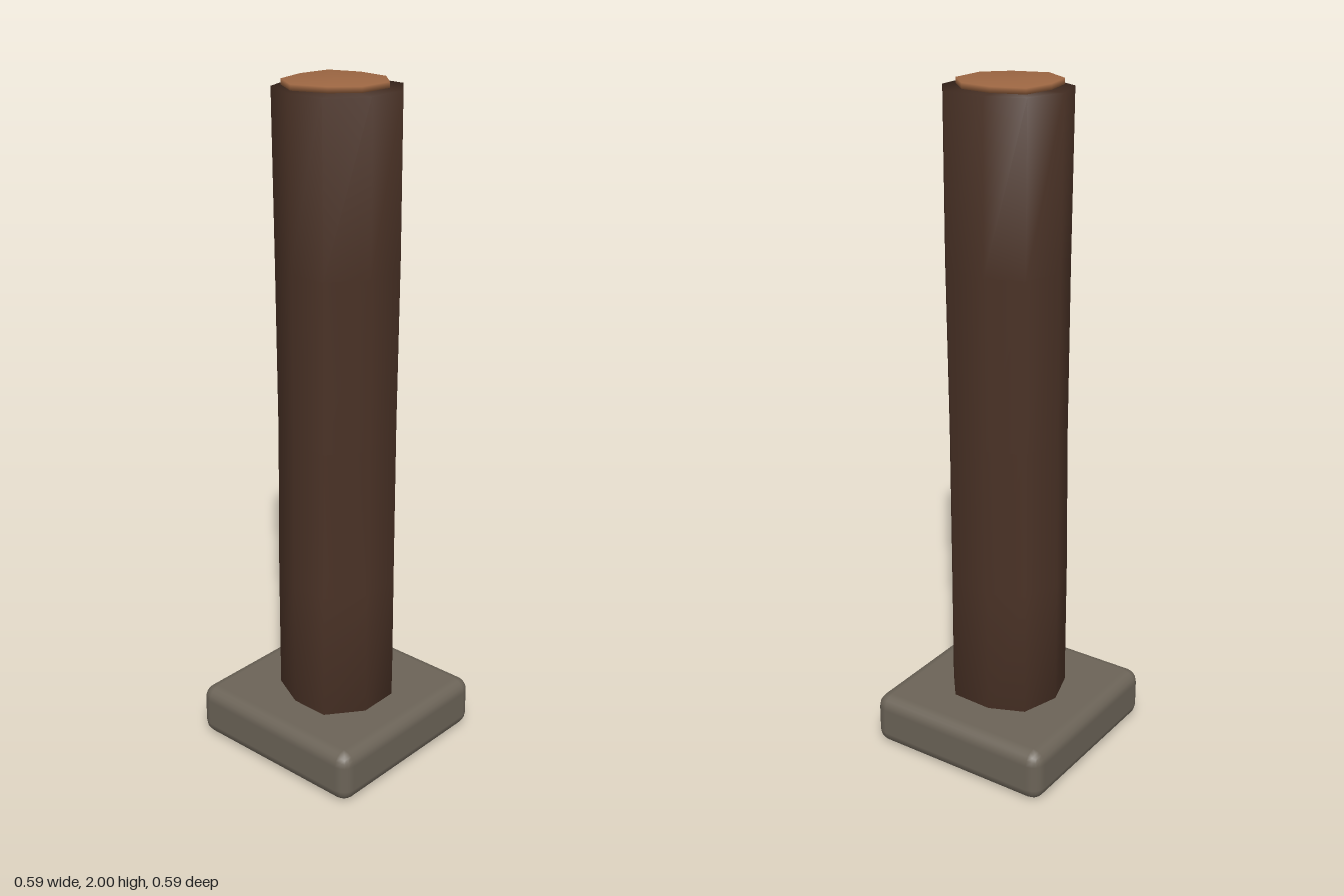
import * as THREE from 'three';
import { RoundedBoxGeometry } from 'three/addons/geometries/RoundedBoxGeometry.js';

// Closed smooth prism: one [x, z] outline repeated over rings of [y, scale, shiftX, shiftZ].
function loft(outline, rings) {
  const n = outline.length;
  const positions = [];
  const index = [];
  for (const [y, s, dx, dz] of rings) {
    for (const [x, z] of outline) positions.push(x * s + dx, y, z * s + dz);
  }
  for (let r = 0; r < rings.length - 1; r++) {
    for (let i = 0; i < n; i++) {
      const a = r * n + i;
      const b = r * n + (i + 1) % n;
      index.push(a, a + n, b, b, a + n, b + n);
    }
  }
  // end discs, fanned from a centre point
  const first = rings[0];
  const last = rings[rings.length - 1];
  const bottom = positions.length / 3;
  const top = bottom + 1;
  positions.push(first[2], first[0], first[3], last[2], last[0], last[3]);
  const start = (rings.length - 1) * n;
  for (let i = 0; i < n; i++) {
    const j = (i + 1) % n;
    index.push(bottom, i, j, top, start + j, start + i);
  }
  const geometry = new THREE.BufferGeometry();
  geometry.setAttribute('position', new THREE.Float32BufferAttribute(positions, 3));
  geometry.setIndex(index);
  geometry.computeVertexNormals();
  return geometry;
}

function material(name, color) {
  const m = new THREE.MeshStandardMaterial({ color });
  m.name = name;
  return m;
}

export function createModel() {
  const group = new THREE.Group();
  group.name = 'postOnStone';

  const add = (name, geometry, mat) => {
    const mesh = new THREE.Mesh(geometry, mat);
    mesh.name = name;
    group.add(mesh);
    return mesh;
  };

  // stone footing with rounded edges
  const footing = add('footing', new RoundedBoxGeometry(0.594, 0.16, 0.594, 2, 0.04), material('stone', 0x6b6357));
  footing.position.y = 0.08;

  // nine-sided, slightly wavering trunk
  const barkOutline = [
    [0, -0.17], [0.118, -0.134], [0.163, -0.03], [0.158, 0.098], [0.063, 0.174],
    [-0.063, 0.176], [-0.165, 0.097], [-0.165, -0.022], [-0.111, -0.134],
  ];
  add('trunk', loft(barkOutline, [
    [0.1, 0.98, -0.002, 0],
    [0.55, 0.98, 0, -0.002],
    [1.0, 0.97, 0.004, -0.002],
    [1.5, 0.99, 0.001, 0.002],
    [1.98, 1, 0, 0],
  ]), material('bark', 0x4a3226));

  // pale cut wood on the top end
  const cutOutline = [
    [0, -0.131], [0.095, -0.115], [0.127, -0.025], [0.119, 0.07], [0.055, 0.136],
    [-0.05, 0.132], [-0.112, 0.07], [-0.147, -0.029], [-0.095, -0.112],
  ];
  add('cutTop', loft(cutOutline, [
    [1.984, 1, 0, 0],
    [2, 1, 0, 0],
  ]), material('cutWood', 0x9c6642));

  return group;
}
